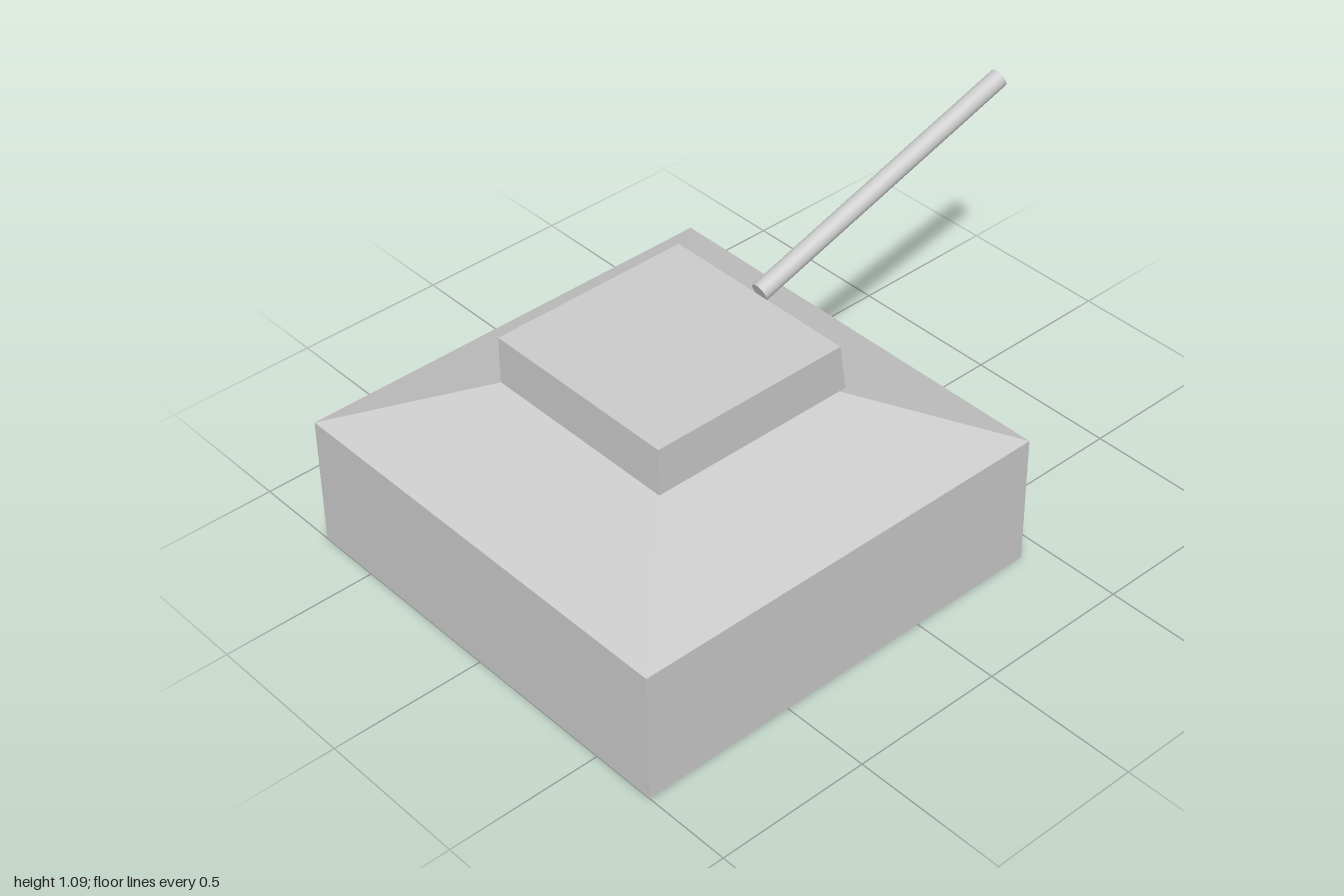
import * as THREE from 'three';

const material = new THREE.MeshStandardMaterial({ color: 0xcccccc });
const flatMaterial = new THREE.MeshStandardMaterial({ color: 0xcccccc, flatShading: true });

// Box whose lower and upper rectangles [xMin, xMax, zHalf] may differ
function taperedBlock(name, y0, y1, lower, upper) {
  const geometry = new THREE.BoxGeometry(1, 1, 1);
  const pos = geometry.attributes.position;
  for (let i = 0; i < pos.count; i++) {
    const top = pos.getY(i) > 0;
    const [xMin, xMax, zHalf] = top ? upper : lower;
    pos.setXYZ(i, pos.getX(i) > 0 ? xMax : xMin, top ? y1 : y0, Math.sign(pos.getZ(i)) * zHalf);
  }
  geometry.computeVertexNormals();
  const mesh = new THREE.Mesh(geometry, flatMaterial);
  mesh.name = name;
  return mesh;
}

// Closed cylinder between two points
function rod(name, start, end, radius) {
  const axis = end.clone().sub(start);
  const mesh = new THREE.Mesh(new THREE.CylinderGeometry(radius, radius, axis.length(), 32), material);
  mesh.position.copy(start).add(end).multiplyScalar(0.5);
  mesh.quaternion.setFromUnitVectors(new THREE.Vector3(0, 1, 0), axis.normalize());
  mesh.name = name;
  return mesh;
}

export function createModel() {
  const model = new THREE.Group();
  model.name = 'tank';

  const base = [-1, 0.424, 0.712];
  const deck = [-0.62, 0.045, 0.334];

  // Square hull with a sloped deck
  model.add(taperedBlock('hull', 0, 0.43, base, base));
  model.add(taperedBlock('slopedDeck', 0.43, 0.59, base, deck));

  // Turret with a slanted gun face
  model.add(taperedBlock('turret', 0.59, 0.745, [-0.62, 0.068, 0.334], deck));

  // Raised gun barrel, standing just clear of the turret face
  model.add(rod('gunBarrel', new THREE.Vector3(0.077, 0.72, -0.027), new THREE.Vector3(0.99, 1.065, 0.012), 0.03));

  return model;
}
